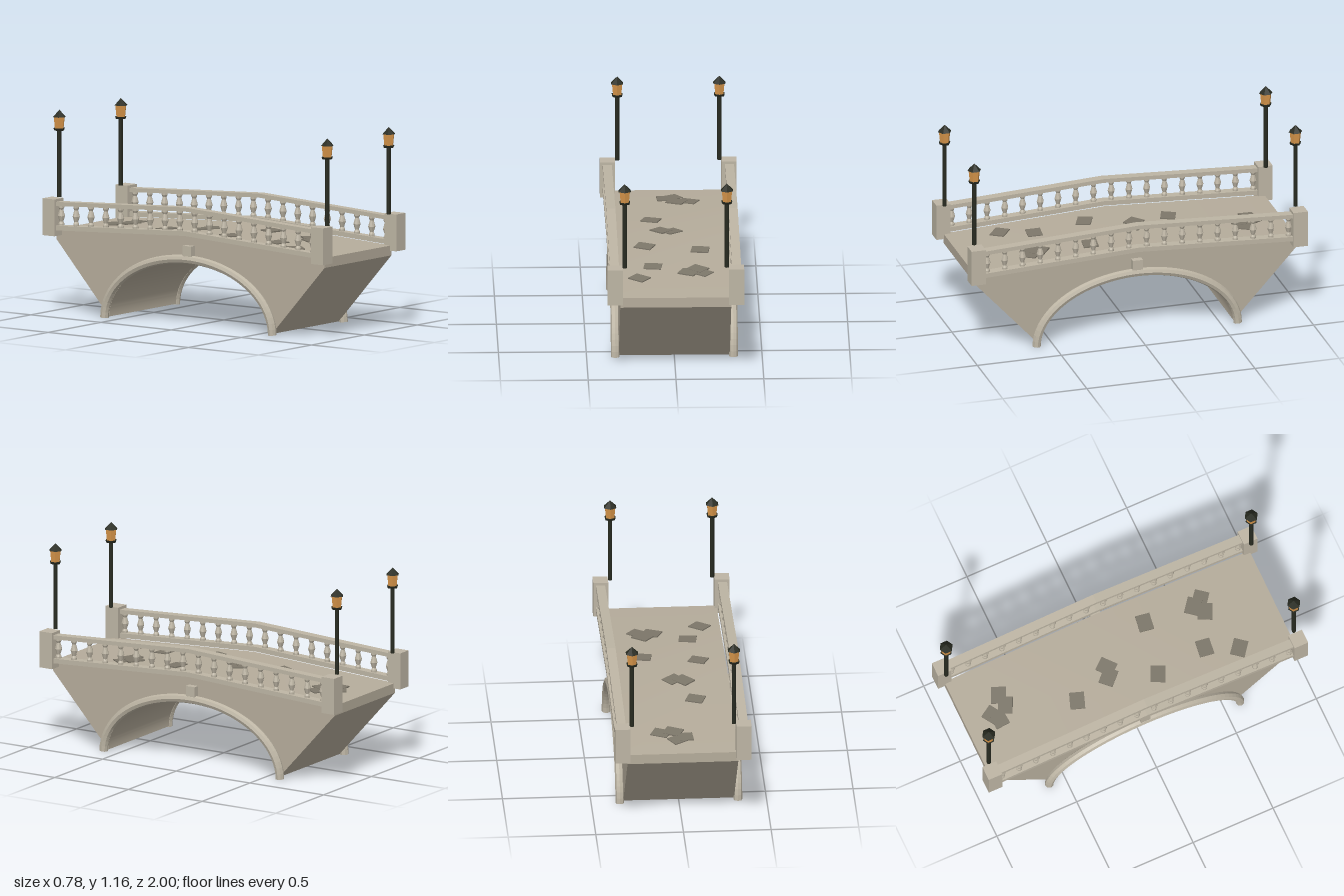
import * as THREE from 'three';
import { toCreasedNormals } from 'three/addons/utils/BufferGeometryUtils.js';

const mat = (name, color, flatShading = false) => {
  const m = new THREE.MeshStandardMaterial({ color, flatShading });
  m.name = name;
  return m;
};

// deck height falls in a straight line from the crown to each end
const SLOPE = 0.052;
const deckY = (z) => 0.527 - SLOPE * Math.abs(z);

// extrude a (z, y) outline across x, centred on x = cx
function acrossX(shape, width, cx, curveSegments = 12) {
  const g = new THREE.ExtrudeGeometry(shape, { depth: width, bevelEnabled: false, curveSegments });
  g.translate(0, 0, -width / 2);
  g.rotateY(Math.PI / 2);
  g.translate(cx, 0, 0);
  return g;
}

// bent bar that follows the deck slope
function railShape(bottom, top, end) {
  const drop = SLOPE * end;
  return new THREE.Shape([
    [-end, bottom - drop], [0, bottom], [end, bottom - drop],
    [end, top - drop], [0, top], [-end, top - drop],
  ].map(([x, y]) => new THREE.Vector2(x, y)));
}

export function createModel() {
  const stone = mat('stone', 0xb5ac9b);
  const trim = mat('trim stone', 0xbdb5a4, true);
  const slabStone = mat('paving stone', 0x7d776a);
  const metal = mat('dark metal', 0x272a20, true);
  const glass = mat('amber glass', 0xd8964a, true);

  const bridge = new THREE.Group();
  bridge.name = 'bridge';
  const add = (parent, name, geometry, material, x = 0, y = 0, z = 0) => {
    const m = new THREE.Mesh(geometry, material);
    m.name = name;
    m.position.set(x, y, z);
    parent.add(m);
    return m;
  };

  // body: sloped deck, raking ends and an elliptical barrel underneath
  const body = new THREE.Shape();
  body.moveTo(0.58, 0.008);
  body.lineTo(0.955, 0.42);
  body.lineTo(0.955, deckY(0.955));
  body.lineTo(0, deckY(0));
  body.lineTo(-0.955, deckY(0.955));
  body.lineTo(-0.955, 0.42);
  body.lineTo(-0.58, 0.008);
  body.absellipse(0, 0.008, 0.58, 0.358, Math.PI, 0, true);
  add(bridge, 'archBody', toCreasedNormals(acrossX(body, 0.632, 0, 64), 0.4), stone);

  // scattered paving stones: x, z, turn in degrees
  const paving = [
    [0.015, -0.79, 32], [-0.02, -0.765, 4], [0.04, -0.70, -25], [0.11, -0.71, -24],
    [-0.113, -0.32, -20], [-0.06, -0.10, -45], [0, -0.085, 40], [-0.16, 0.165, -24],
    [0.155, 0.225, -8], [-0.12, 0.475, -7], [0.08, 0.57, -25], [0.135, 0.52, -38],
    [0.16, 0.575, -38], [-0.2, 0.655, -38],
  ];
  const pavingGeo = new THREE.BoxGeometry(0.1, 0.009, 0.085);
  paving.forEach(([x, z, deg], i) => {
    const tilt = new THREE.Group();
    tilt.name = 'pavingStone';
    tilt.position.set(x, deckY(z) + 0.001 + (i % 3) * 0.001, z);
    tilt.rotation.x = Math.sign(z) * Math.atan(SLOPE);
    add(tilt, 'pavingSlab', pavingGeo, slabStone).rotation.y = THREE.MathUtils.degToRad(deg);
    bridge.add(tilt);
  });

  // shared geometries
  const archCurve = new THREE.CatmullRomCurve3(Array.from({ length: 33 }, (_, i) => {
    const a = Math.PI * i / 32;
    return new THREE.Vector3(0, 0.004 + 0.384 * Math.sin(a), 0.598 * Math.cos(a));
  }));
  const ringGeo = new THREE.TubeGeometry(archCurve, 48, 0.025, 8);
  const footGeo = new THREE.CircleGeometry(0.025, 8).rotateX(Math.PI / 2);
  const balusterGeo = new THREE.LatheGeometry([
    [0.017, 0], [0.017, 0.012], [0.011, 0.024], [0.021, 0.056],
    [0.011, 0.092], [0.017, 0.104], [0.017, 0.117],
  ].map(([r, y]) => new THREE.Vector2(r, y)), 8);
  const postGeo = new THREE.BoxGeometry(0.086, 0.212, 0.085);

  for (const s of [1, -1]) {
    const side = new THREE.Group();
    side.name = s > 0 ? 'leftSide' : 'rightSide';
    bridge.add(side);

    // arch ring with closed feet, and keystone
    add(side, 'archRing', ringGeo, trim, s * 0.337);
    for (const e of [1, -1]) add(side, 'ringFoot', footGeo, trim, s * 0.337, 0.004, e * 0.598);
    add(side, 'keystone', new THREE.BoxGeometry(0.038, 0.06, 0.06), trim, s * 0.334, 0.437, 0);

    // balustrade
    add(side, 'baseRail', acrossX(railShape(0.528, 0.555, 0.93), 0.052, s * 0.348), trim);
    add(side, 'handRail', acrossX(railShape(0.669, 0.692, 0.93), 0.052, s * 0.348), trim);
    for (let i = 0; i < 18; i++) {
      const z = (i - 8.5) * 0.1055;
      add(side, 'baluster', balusterGeo, trim, s * 0.348, 0.554 - SLOPE * Math.abs(z), z);
    }

    for (const e of [1, -1]) {
      // end post
      add(side, 'endPost', postGeo, trim, s * 0.346, 0.554, e * 0.9575);

      // lamp
      const lamp = new THREE.Group();
      lamp.name = 'lamp';
      lamp.position.set(s * 0.291, 0.66, e * 0.955);
      side.add(lamp);
      add(lamp, 'lampPole', new THREE.CylinderGeometry(0.0125, 0.0125, 0.39, 8), metal, 0, 0.195, 0);
      add(lamp, 'lampCollar', new THREE.CylinderGeometry(0.035, 0.03, 0.013, 6), metal, 0, 0.39, 0);
      add(lamp, 'lantern', new THREE.CylinderGeometry(0.034, 0.027, 0.066, 6), glass, 0, 0.429, 0);
      add(lamp, 'lampRoof', new THREE.ConeGeometry(0.04, 0.041, 6), metal, 0, 0.4815, 0);
    }
  }
  return bridge;
}
